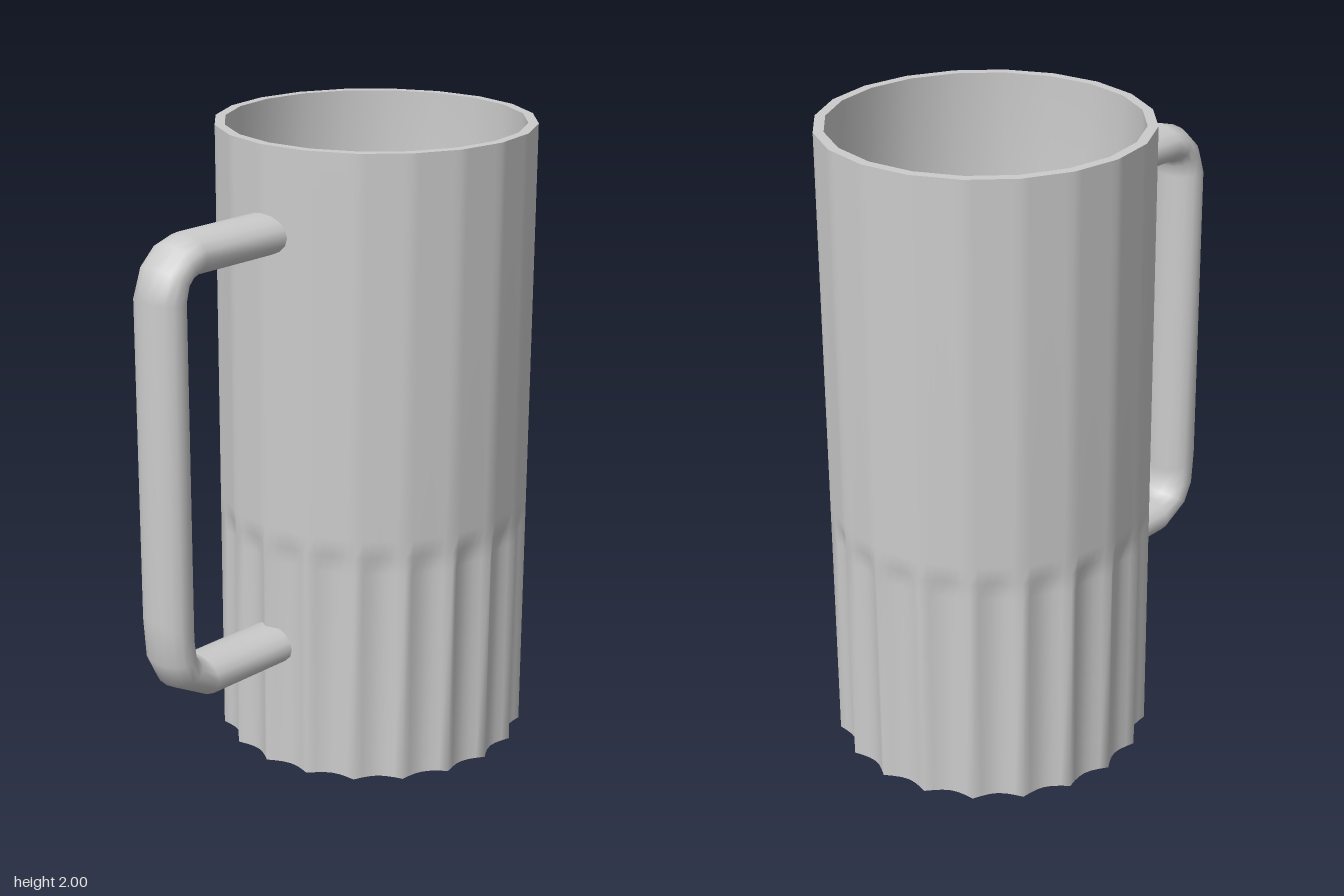
import * as THREE from 'three';

const CX = 0.235;          // axis of the cup
const SIDES = 20, STEPS = 6;
const R = 0.495, R_IN = 0.464;

const material = new THREE.MeshStandardMaterial({ color: 0xcccccc, side: THREE.DoubleSide });

// Skin closed rings of points into one smooth surface
function loft(name, rings) {
  const n = rings[0].length, pos = [], index = [];
  rings.forEach(ring => ring.forEach(p => pos.push(p.x, p.y, p.z)));
  for (let i = 0; i < rings.length - 1; i++) {
    for (let j = 0; j < n; j++) {
      const a = i * n + j, b = i * n + (j + 1) % n;
      index.push(a, b, b + n, a, b + n, a + n);
    }
  }
  const geometry = new THREE.BufferGeometry();
  geometry.setAttribute('position', new THREE.Float32BufferAttribute(pos, 3));
  geometry.setIndex(index);
  geometry.computeVertexNormals();
  const mesh = new THREE.Mesh(geometry, material);
  mesh.name = name;
  return mesh;
}

const corner = (k, r, y) => {
  const a = k / SIDES * Math.PI * 2;
  return new THREE.Vector3(CX + r * Math.cos(a), y, -r * Math.sin(a));
};

// Plain polygon ring
const polygon = (r, y) => Array.from({ length: SIDES }, (_, k) => corner(k, r, y));

// Polygon ring whose sides are hollowed inwards by the given depth
function flutedRing(y, depth) {
  const ring = [];
  for (let k = 0; k < SIDES; k++) {
    for (let s = 0; s < STEPS; s++) {
      const t = s / STEPS;
      const p = corner(k, R, y).lerp(corner(k + 1, R, y), t);
      const scale = 1 - depth * Math.sin(Math.PI * t) / R;
      p.x = CX + (p.x - CX) * scale;
      p.z *= scale;
      ring.push(p);
    }
  }
  return ring;
}

export function createModel() {
  const group = new THREE.Group();
  group.name = 'mug';

  // Outer wall, hollowed into flutes around the foot and open below
  group.add(loft('outerWall', [
    flutedRing(0, 0.024), flutedRing(0.69, 0.024), flutedRing(0.75, 0.014),
    flutedRing(0.81, 0), flutedRing(2, 0),
  ]));

  // Flat lip, then the inner wall and raised floor
  group.add(loft('rim', [polygon(R, 2), polygon(R_IN, 2)]));
  group.add(loft('innerCup', [polygon(R_IN, 2), polygon(R_IN, 0.3), polygon(0, 0.3)]));

  // Handle: outer and inner edge of each oval section [xo, yo, xi, yi]
  const sections = [
    [-0.235, 1.795, -0.235, 1.67], [-0.56, 1.795, -0.572, 1.67],
    [-0.635, 1.772, -0.588, 1.662], [-0.695, 1.715, -0.6, 1.645],
    [-0.73, 1.62, -0.605, 1.61], [-0.73, 0.64, -0.605, 0.55],
    [-0.72, 0.5, -0.597, 0.505], [-0.68, 0.415, -0.577, 0.485],
    [-0.55, 0.345, -0.545, 0.47], [-0.235, 0.345, -0.235, 0.47],
  ];
  const N = 16;
  group.add(loft('handle', sections.map(([xo, yo, xi, yi]) =>
    Array.from({ length: N }, (_, j) => {
      const t = j / N * Math.PI * 2, c = Math.cos(t) / 2;
      return new THREE.Vector3(
        (xo + xi) / 2 + (xo - xi) * c, (yo + yi) / 2 + (yo - yi) * c, -0.09 * Math.sin(t));
    }))));

  return group;
}
